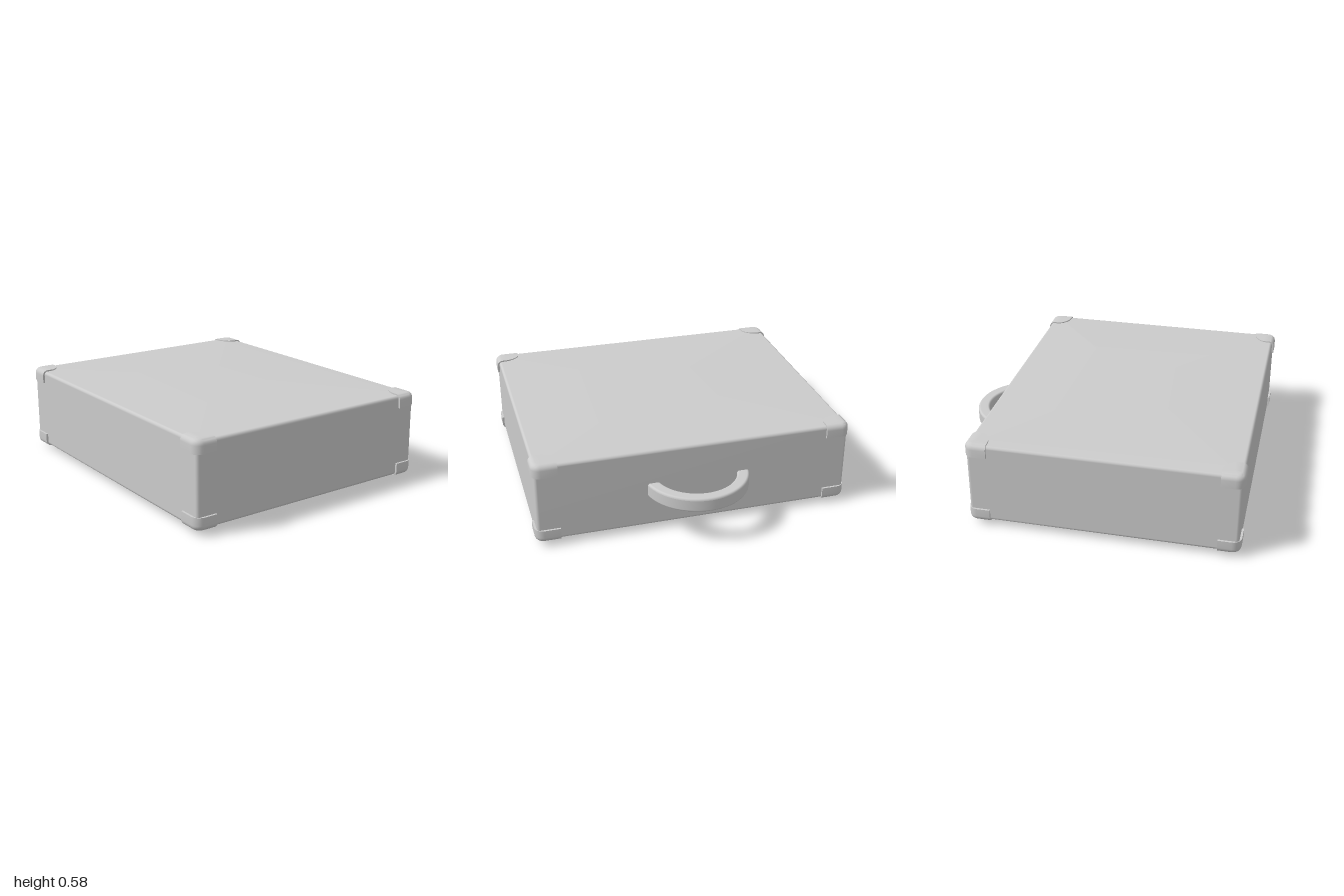
import * as THREE from 'three';
import { toCreasedNormals } from 'three/addons/utils/BufferGeometryUtils.js';

const material = new THREE.MeshStandardMaterial({ color: 0xcccccc });
const CX = -0.125, MID = 0.296; // centre of the case in x and y

function addPart(group, name, geometry) {
  const mesh = new THREE.Mesh(geometry, material);
  mesh.name = name;
  group.add(mesh);
  return mesh;
}

// Skin equal rings of [x, y, z] points and close both ends with a fan to a point
function loft(rings, startPoint, endPoint, flip = false) {
  const n = rings[0].length, last = (rings.length - 1) * n, index = [];
  const points = [...rings.flat(), startPoint, endPoint];
  const tri = (a, b, c) => index.push(...(flip ? [a, c, b] : [a, b, c]));
  for (let j = 0; j < n; j++) {
    const k = (j + 1) % n;
    for (let r = 0; r < last; r += n) {
      tri(r + j, r + k, r + n + k);
      tri(r + j, r + n + k, r + n + j);
    }
    tri(k, j, points.length - 2);
    tri(last + j, last + k, points.length - 1);
  }
  const geometry = new THREE.BufferGeometry();
  geometry.setAttribute('position', new THREE.Float32BufferAttribute(points.flat(), 3));
  geometry.setIndex(index);
  geometry.computeVertexNormals();
  return geometry;
}

// Case body: rounded box whose top and bottom rise to a shallow point
function bodyGeometry() {
  const hx = 0.817, hz = 0.987, hy = 0.258, r = 0.02, steps = 4;
  const ring = (y, inset) => {
    const pts = [];
    for (let q = 0; q < 4; q++) {
      const sx = q === 0 || q === 3 ? 1 : -1, sz = q < 2 ? -1 : 1;
      for (let i = 0; i <= steps; i++) {
        const t = (q + i / steps) * Math.PI / 2;
        pts.push([
          CX + sx * (hx - r) + (r - inset) * Math.cos(t), y,
          sz * (hz - r) - (r - inset) * Math.sin(t)]);
      }
    }
    return pts;
  };
  const rings = [];
  for (const side of [-1, 1]) {
    for (let i = 0; i <= steps; i++) {
      const t = (side < 0 ? steps - i : i) / steps * Math.PI / 2;
      rings.push(ring(MID + side * (hy - r + r * Math.sin(t)), 0.9 * r * (1 - Math.cos(t))));
    }
  }
  return loft(rings, [CX, 0, 0], [CX, 0.585, 0]);
}

// Corner guard: rounded outside, clipped curve on the inner side
function cornerGeometry(sx, sy, sz) {
  const hx = 0.83, hy = 0.267, w = 0.138, d = 0.155, h = 0.085;
  const r = 0.055, bevel = 0.035, steps = 6;
  const place = (a, b, y) => [CX + sx * (hx - a), MID + sy * y, sz * (1 - b)];
  const ring = (y, inset) => {
    const pts = [[w, inset]];
    for (let i = 0; i <= steps; i++) {
      const t = i / steps * Math.PI / 2;
      pts.push([r - (r - inset) * Math.sin(t), r - (r - inset) * Math.cos(t)]);
    }
    pts.push([inset, d], [0.075, d], [0.1, 0.142], [0.122, 0.115], [0.134, 0.085], [w, 0.055]);
    return pts.map(([a, b]) => place(a, b, y));
  };
  const rings = [ring(hy - h, 0)];
  for (let i = 0; i <= steps; i++) {
    const t = i / steps * Math.PI / 2;
    rings.push(ring(hy - bevel + bevel * Math.sin(t), bevel * (1 - Math.cos(t))));
  }
  const geometry = loft(rings, place(0.07, 0.07, hy - h), place(0.07, 0.07, hy), sx * sy * sz < 0);
  return toCreasedNormals(geometry, 0.6);
}

// Handle: half ring with a rounded rectangular section
function handleGeometry() {
  const radius = 0.2925, hw = 0.0375, hh = 0.046, r = 0.014, profile = [];
  for (let q = 0; q < 4; q++) {
    const sx = q === 0 || q === 3 ? 1 : -1, sy = q < 2 ? 1 : -1;
    for (let i = 0; i <= 4; i++) {
      const t = (q + i / 4) * Math.PI / 2;
      profile.push(new THREE.Vector2(
        radius + sx * (hw - r) + r * Math.cos(t), sy * (hh - r) + r * Math.sin(t)));
    }
  }
  profile.push(profile[0].clone());
  return new THREE.LatheGeometry(profile, 40, 0, Math.PI);
}

export function createModel() {
  const model = new THREE.Group();
  model.name = 'suitcase';
  addPart(model, 'caseBody', bodyGeometry());

  for (const sy of [1, -1]) for (const sz of [1, -1]) for (const sx of [1, -1]) {
    const name = `${sy > 0 ? 'top' : 'bottom'}${sz > 0 ? 'Front' : 'Back'}${sx > 0 ? 'Left' : 'Right'}Corner`;
    addPart(model, name, cornerGeometry(sx, sy, sz));
  }

  addPart(model, 'handle', handleGeometry()).position.set(0.62, 0.286, -0.02);
  return model;
}
